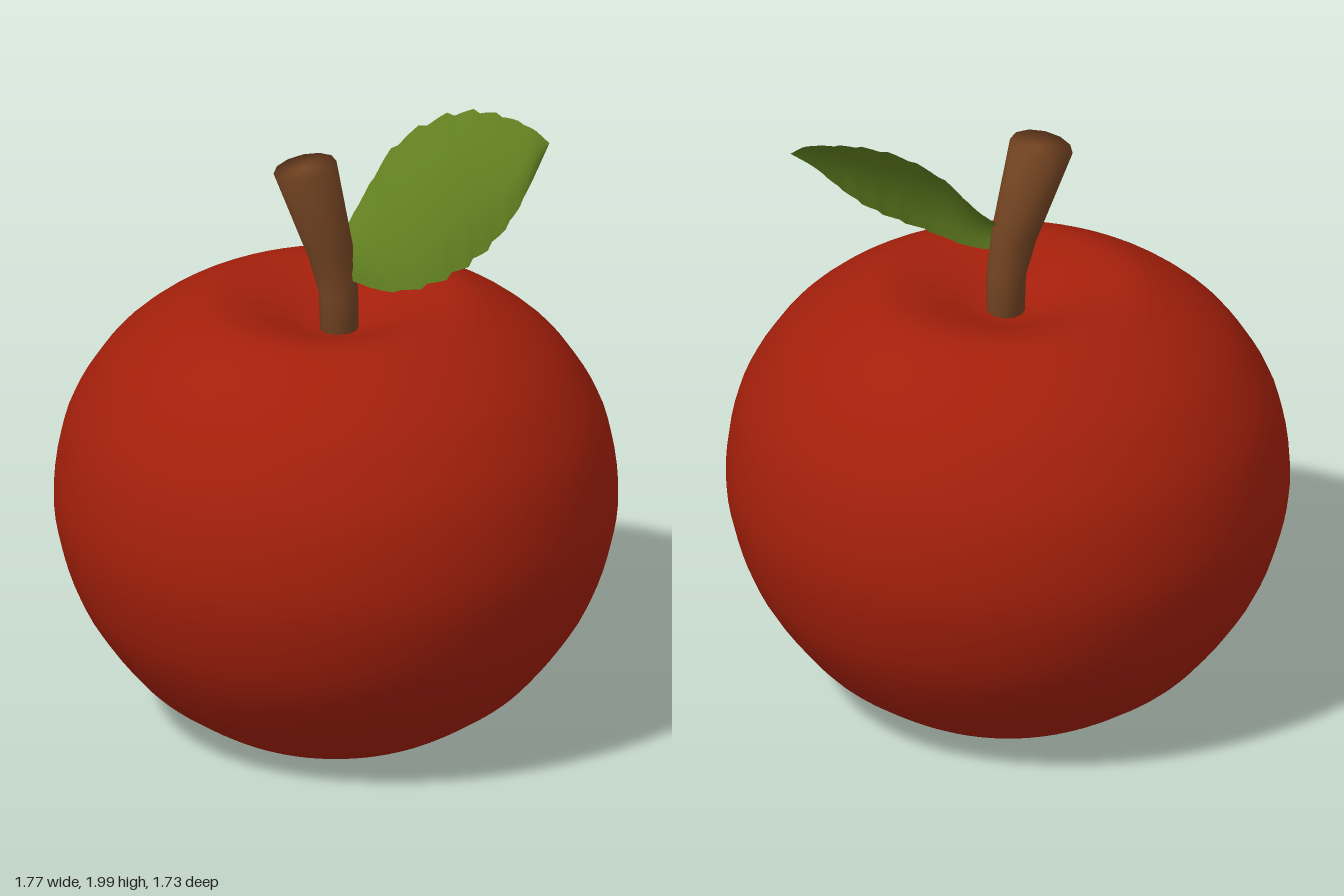
import * as THREE from 'three';
import { mergeVertices } from 'three/addons/utils/BufferGeometryUtils.js';

const skinMat = new THREE.MeshStandardMaterial({ color: 0xa31f0b });
skinMat.name = 'red skin';
const barkMat = new THREE.MeshStandardMaterial({ color: 0x744422 });
barkMat.name = 'brown bark';
const leafMat = new THREE.MeshStandardMaterial({ color: 0x607e20, side: THREE.DoubleSide });
leafMat.name = 'green leaf';

function part(name, geometry, material) {
  const mesh = new THREE.Mesh(geometry, material);
  mesh.name = name;
  return mesh;
}

// Fruit: a smooth round profile with a shallow dimple at both ends
function makeFruit() {
  const profile = [
    [0, 0.058], [0.1, 0.043], [0.2, 0.02], [0.3, 0.003], [0.38, 0.015], [0.52, 0.1],
    [0.64, 0.2], [0.785, 0.4], [0.862, 0.6], [0.887, 0.79], [0.848, 1.02], [0.748, 1.2],
    [0.648, 1.305], [0.53, 1.385], [0.41, 1.433], [0.3, 1.422], [0.2, 1.388], [0.1, 1.348], [0, 1.33],
  ].map(([r, y]) => new THREE.Vector2(r, y));
  const points = new THREE.SplineCurve(profile).getPoints(72);
  points.forEach((p) => { p.x = Math.max(p.x, 0); });
  const geometry = new THREE.LatheGeometry(points, 64);
  geometry.scale(1, 1, 0.977);
  geometry.translate(0, 0, -0.002);
  return part('fruit', geometry, skinMat);
}

// Stem: a cylinder whose rings follow a bend and flare at the top
function makeStem() {
  // x, y, z, radius, tilt
  const rings = [
    [0.01, 1.3, 0.013, 0.06, 0],
    [0.007, 1.47, 0.014, 0.062, 0.1],
    [-0.018, 1.61, 0.022, 0.069, 0.35],
    [-0.1, 1.91, 0.045, 0.099, 0.2],
  ];
  const cylinder = new THREE.CylinderGeometry(1, 1, 1, 12, rings.length - 1);
  const pos = cylinder.attributes.position;
  for (let i = 0; i < pos.count; i++) {
    const ring = rings[Math.round((pos.getY(i) + 0.5) * (rings.length - 1))];
    const [x, y, z, r, tilt] = ring;
    const dx = pos.getX(i) * r;
    pos.setXYZ(i, x + dx, y + dx * tilt, z + pos.getZ(i) * r);
  }
  // Weld the rims so the cap shades softly into the side
  cylinder.deleteAttribute('uv');
  cylinder.deleteAttribute('normal');
  const geometry = mergeVertices(cylinder);
  geometry.computeVertexNormals();
  return part('stem', geometry, barkMat);
}

// Leaf: a bowed sheet between two toothed edge curves
function makeLeaf() {
  const edge = (list) => new THREE.CatmullRomCurve3(list.map((p) => new THREE.Vector3(...p)));
  const upper = edge([
    [0.03, 1.66, -0.03], [0.09, 1.745, -0.095], [0.19, 1.885, -0.16], [0.32, 1.968, -0.183],
    [0.44, 1.993, -0.183], [0.54, 1.98, -0.16], [0.63, 1.948, -0.12], [0.676, 1.91, -0.1],
  ]);
  const lower = edge([
    [0.05, 1.52, 0.06], [0.15, 1.505, 0.11], [0.27, 1.53, 0.143], [0.38, 1.575, 0.13],
    [0.47, 1.635, 0.1], [0.55, 1.72, 0.06], [0.61, 1.81, 0.0], [0.676, 1.91, -0.1],
  ]);
  const cols = 40;
  const geometry = new THREE.PlaneGeometry(1, 1, cols, 8);
  const pos = geometry.attributes.position;
  const p = new THREE.Vector3();
  for (let i = 0; i < pos.count; i++) {
    const u = pos.getX(i) + 0.5;
    const s = pos.getY(i) * 2;
    // Small saw teeth push the outline in and out
    const tooth = ((Math.round(u * cols) % 4) / 4 - 0.6) * 0.085 * Math.sin(Math.PI * u);
    const v = 0.5 + 0.5 * s * (1 + tooth * s * s);
    p.lerpVectors(lower.getPoint(u), upper.getPoint(u), v);
    const bow = (1 - s * s) * Math.sin(Math.PI * (0.12 + 0.88 * u));
    pos.setXYZ(i, p.x, p.y + 0.028 * bow, p.z + 0.04 * bow);
  }
  geometry.computeVertexNormals();
  return part('leaf', geometry, leafMat);
}

export function createModel() {
  const model = new THREE.Group();
  model.name = 'apple';
  model.add(makeFruit(), makeStem(), makeLeaf());
  return model;
}
